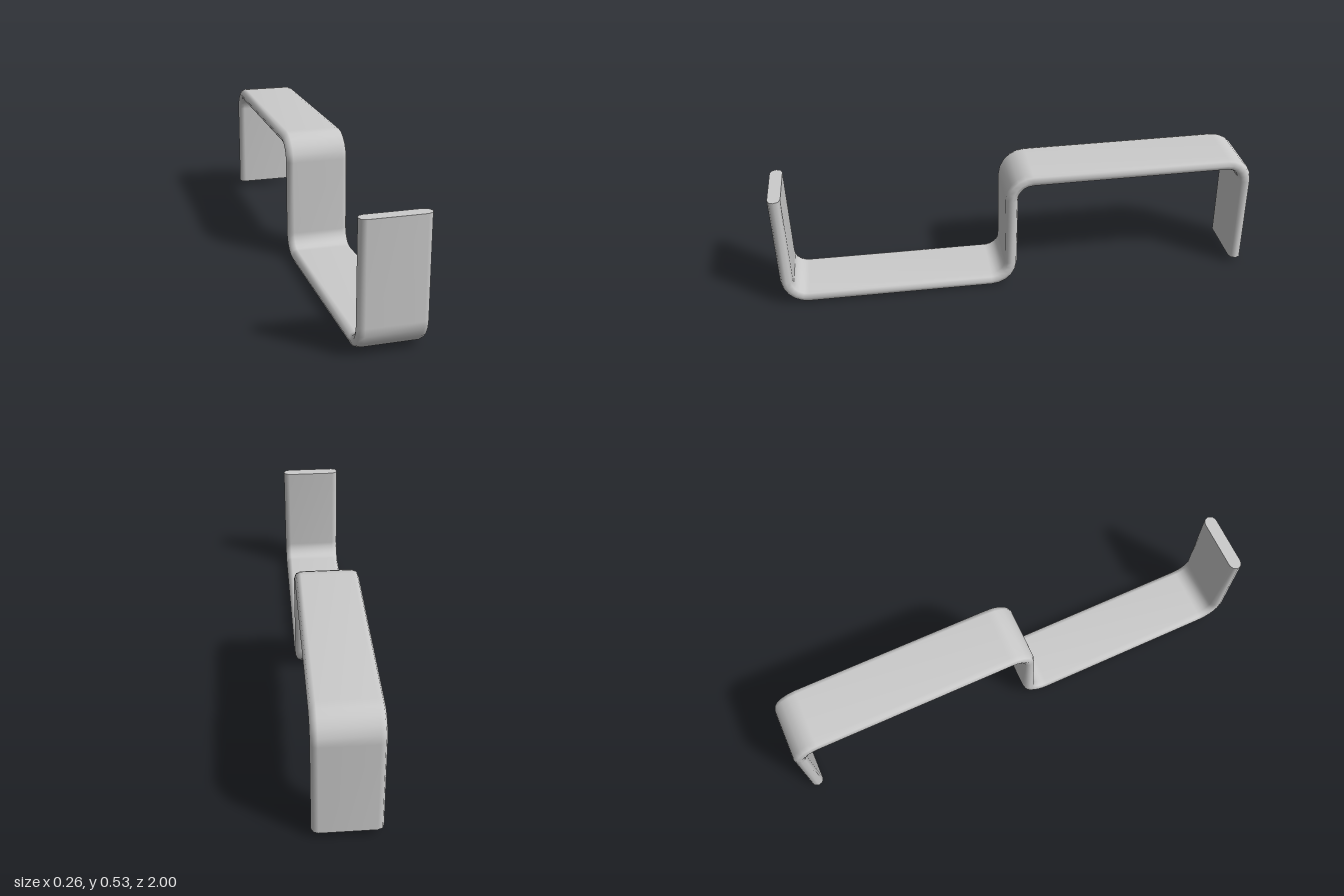
import * as THREE from 'three';

const HALF_T = 0.026; // half thickness of the strap
const HALF_W = 0.132; // half width of the strap

// Stadium cross-section as [across, through] pairs, counter-clockwise
function stadium(segments) {
  const pts = [];
  for (const side of [1, -1]) {
    for (let i = 0; i <= segments; i++) {
      const a = -Math.PI / 2 + (Math.PI * i) / segments;
      pts.push([side * (HALF_W - HALF_T + HALF_T * Math.cos(a)), side * HALF_T * Math.sin(a)]);
    }
  }
  return pts;
}

// Polyline in the (z, y) plane with rounded corners: returns position and tangent per station
function roundedPath(corners, radius, segments) {
  const p = corners.map(([z, y]) => new THREE.Vector3(0, y, z));
  const dir = p.slice(1).map((q, i) => q.clone().sub(p[i]).normalize());
  const stations = [{ pos: p[0], tan: dir[0] }];
  for (let i = 1; i < p.length - 1; i++) {
    const [d1, d2] = [dir[i - 1], dir[i]];
    for (let s = 0; s <= segments; s++) {
      const t = ((Math.PI / 2) * s) / segments;
      const pos = p[i].clone()
        .addScaledVector(d1, -radius * (1 - Math.sin(t)))
        .addScaledVector(d2, radius * (1 - Math.cos(t)));
      const tan = d1.clone().multiplyScalar(Math.cos(t)).addScaledVector(d2, Math.sin(t)).normalize();
      stations.push({ pos, tan });
    }
  }
  stations.push({ pos: p[p.length - 1], tan: dir[dir.length - 1] });
  return stations;
}

function ring({ pos, tan }, section) {
  const across = new THREE.Vector3(1, 0, 0);
  const through = tan.clone().cross(across);
  return section.map(([u, v]) => pos.clone().addScaledVector(across, u).addScaledVector(through, v));
}

function buildGeometry(points, index) {
  const g = new THREE.BufferGeometry().setFromPoints(points);
  g.setIndex(index);
  g.computeVertexNormals();
  return g;
}

// Smooth skin swept along the stations
function sweep(stations, section) {
  const n = section.length;
  const index = [];
  for (let i = 0; i < stations.length - 1; i++) {
    for (let j = 0; j < n; j++) {
      const a = i * n + j, b = i * n + ((j + 1) % n);
      index.push(a, b, b + n, a, b + n, a + n);
    }
  }
  return buildGeometry(stations.flatMap((s) => ring(s, section)), index);
}

// Flat end face
function cap(station, section, flip) {
  const index = [];
  for (let j = 1; j < section.length - 1; j++) index.push(0, ...(flip ? [j + 1, j] : [j, j + 1]));
  return buildGeometry(ring(station, section), index);
}

export function createModel() {
  const group = new THREE.Group();
  group.name = 'doubleHookBracket';
  const material = new THREE.MeshStandardMaterial({ color: 0xcccccc });
  const add = (name, geometry) => {
    const mesh = new THREE.Mesh(geometry, material);
    mesh.name = name;
    group.add(mesh);
  };

  // Centre line of the strap: upright, lower run, riser, upper run, hanging end
  const corners = [
    [0.974, 0.513], [0.974, 0.036], [0.034, 0.029],
    [0.026, 0.508], [-0.966, 0.508], [-0.974, 0.031],
  ];
  const stations = roundedPath(corners, 0.085, 5);
  const section = stadium(4);

  add('bentStrap', sweep(stations, section));
  add('frontEnd', cap(stations[0], section, true));
  add('backEnd', cap(stations[stations.length - 1], section, false));
  return group;
}
